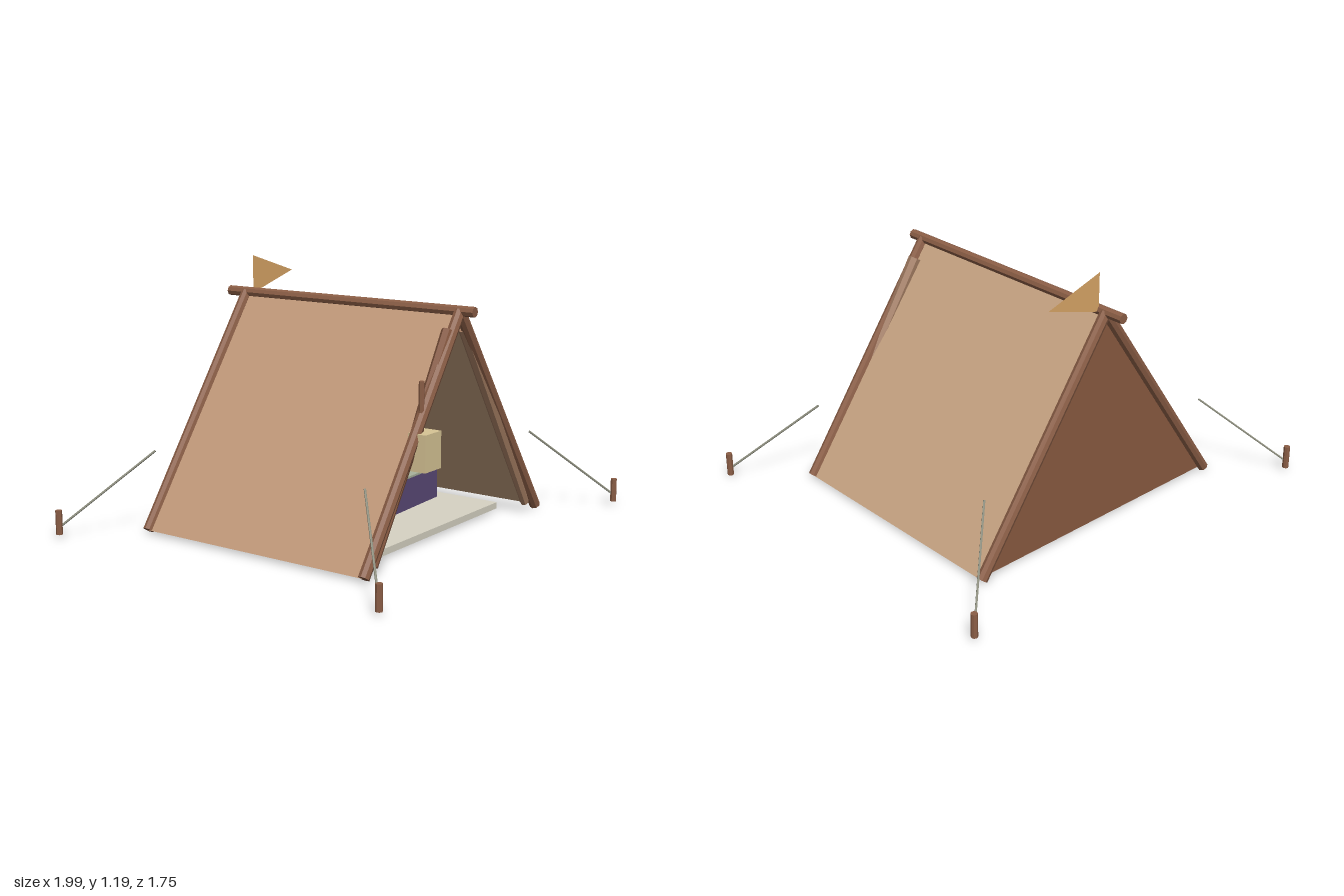
import * as THREE from 'three';

const V = (x, y, z) => new THREE.Vector3(x, y, z);
const mat = (color, extra = {}) =>
  new THREE.MeshStandardMaterial({ color, flatShading: true, ...extra });
const cloth = (color) => mat(color, { side: THREE.DoubleSide });

const wood = mat(0x8b5e46);
const rope = mat(0x8f9080);

export function createModel() {
  const tent = new THREE.Group();
  tent.name = 'tent';

  const add = (name, geometry, material, x = 0, y = 0, z = 0) => {
    const mesh = new THREE.Mesh(geometry, material);
    mesh.name = name;
    mesh.position.set(x, y, z);
    tent.add(mesh);
    return mesh;
  };

  // Round bar between two points, with an optional taper
  const bar = (name, a, b, rA, material, rB = rA, sides = 8) => {
    const dir = b.clone().sub(a);
    const geo = new THREE.CylinderGeometry(rB, rA, dir.length(), sides);
    const mesh = add(name, geo, material);
    mesh.position.copy(a).add(b).multiplyScalar(0.5);
    mesh.quaternion.setFromUnitVectors(V(0, 1, 0), dir.normalize());
    return mesh;
  };

  const triangle = (name, points, z, material) => {
    const shape = new THREE.Shape(points.map(([x, y]) => new THREE.Vector2(x, y)));
    return add(name, new THREE.ShapeGeometry(shape), material, 0, 0, z);
  };

  // Ridge and the two A-frames
  bar('ridgePole', V(0, 1.02, -0.69), V(0, 1.02, 0.665), 0.023, wood);
  for (const z of [-0.59, 0.59])
    for (const s of [-1, 1])
      bar('framePole', V(s * 0.7, 0.017, z), V(0, 1.02, z), 0.025, wood);

  // Sloping canvas sides
  const slope = Math.hypot(0.705, 1.0);
  for (const s of [-1, 1]) {
    const geo = new THREE.PlaneGeometry(1.17, slope);
    geo.rotateY(s * Math.PI / 2);
    const panel = add('canvasSide', geo, cloth(s > 0 ? 0xc9a583 : 0xc29a7a), s * 0.3525, 0.518, 0);
    panel.rotation.z = s * Math.atan2(0.705, 1.0);
  }

  // Closed back wall
  triangle('backWall', [[-0.7, 0.018], [0.7, 0.018], [0, 1.015]], -0.58, cloth(0x8a5a40));

  // Tied-back door flaps, rolled along the front poles
  for (const s of [-1, 1]) {
    const color = s > 0 ? 0xa07a60 : 0x85573f;
    const roll = bar('doorFlapRoll', V(s * 0.62, 0.045, 0.58), V(s * 0.065, 0.94, 0.575),
      0.022, mat(color), 0.034, 7);
    roll.scale.z = 0.9;
  }

  // Ground sheet
  add('groundSheet', new THREE.BoxGeometry(1.06, 0.03, 0.96), mat(0xd8d4c4), 0, 0.033, 0);

  // Bedding: padded block with a thin pale cover
  const bed = add('bedding', new THREE.BoxGeometry(0.41, 0.145, 0.5), mat(0x5c4a78), 0.23, 0.12, -0.04);
  bed.rotation.y = 0.06;
  const cover = add('beddingCover', new THREE.BoxGeometry(0.41, 0.01, 0.5), mat(0xa9b39c), 0.23, 0.197, -0.04);
  cover.rotation.y = 0.06;

  // Lantern and its hanger at the front
  add('lantern', new THREE.BoxGeometry(0.12, 0.16, 0.085), mat(0xd8c596), -0.29, 0.468, 0.607);
  bar('lanternHanger', V(-0.292, 0.54, 0.59), V(-0.292, 0.76, 0.59), 0.012, wood);

  // Pennant above the back of the ridge
  triangle('pennant', [[0.012, 1.015], [0.305, 1.1], [0.012, 1.192]], -0.56, cloth(0xdaa667));

  // Guy ropes and stakes at the four corners
  for (const sx of [-1, 1])
    for (const sz of [-1, 1]) {
      bar('guyRope', V(sx * 0.665, 0.377, sz * 0.57), V(sx * 0.98, 0.05, sz * 0.86), 0.005, rope, 0.005, 6);
      bar('stake', V(sx * 0.981, 0.017, sz * 0.861), V(sx * 0.981, 0.127, sz * 0.861), 0.015, wood);
    }

  return tent;
}
